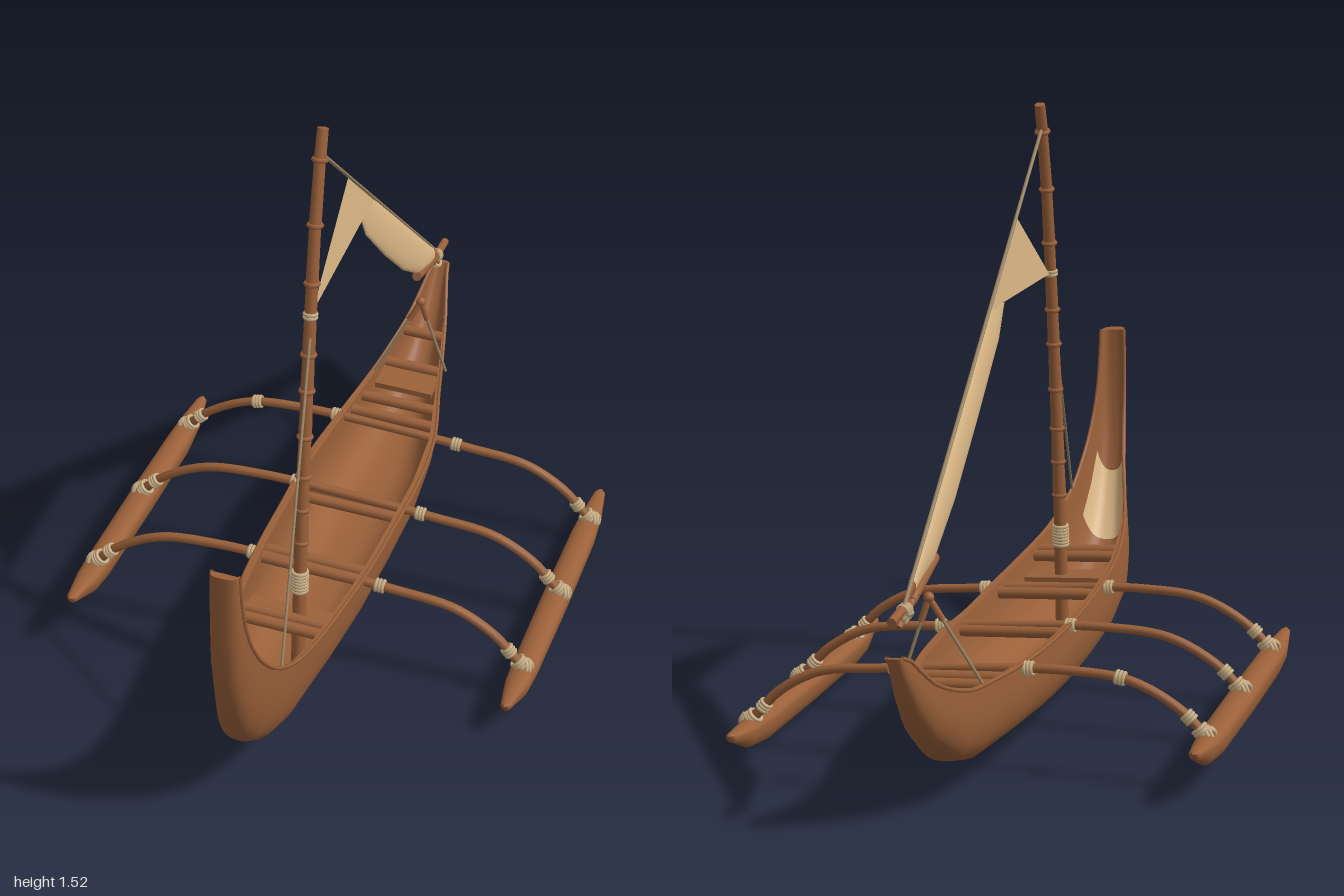
import * as THREE from 'three';

const V = (x, y, z) => new THREE.Vector3(x, y, z);
const mat = (name, color) => new THREE.MeshStandardMaterial({ name, color, side: THREE.DoubleSide });

export function createModel() {
  const wood = mat('wood', 0x9a6039), cloth = mat('sailcloth', 0xdfba88);
  const rope = mat('rope', 0xc8ae84), cord = mat('cord', 0x968160);
  const boat = new THREE.Group();
  boat.name = 'outriggerSailboat';

  const add = (name, geo, material) => {
    const m = new THREE.Mesh(geo, material);
    m.name = name;
    boat.add(m);
    return m;
  };

  // Skin a list of equally long rows of points
  const loft = (name, rows, material, closed = false) => {
    const n = rows[0].length, idx = [];
    for (let i = 0; i < rows.length - 1; i++)
      for (let j = 0; j < (closed ? n : n - 1); j++) {
        const k = (j + 1) % n, a = i * n + j, b = i * n + k;
        idx.push(a, b, a + n, b, b + n, a + n);
      }
    const g = new THREE.BufferGeometry().setFromPoints(rows.flat());
    g.setIndex(idx);
    g.computeVertexNormals();
    return add(name, g, material);
  };

  const rod = (name, a, b, r, material, r2 = r) => {
    const d = b.clone().sub(a);
    const m = add(name, new THREE.CylinderGeometry(r2, r, d.length(), 10), material);
    m.position.copy(a).addScaledVector(d, 0.5);
    m.quaternion.setFromUnitVectors(V(0, 1, 0), d.normalize());
    return m;
  };

  // Several turns of rope around a spar
  const lash = (name, p, dir, r, turns = 3, material = rope, thick = 0.005) => {
    for (let i = 0; i < turns; i++) {
      const t = add(name, new THREE.TorusGeometry(r, thick, 6, 14), material);
      t.position.copy(p).addScaledVector(dir, (i - (turns - 1) / 2) * thick * 1.7);
      t.quaternion.setFromUnitVectors(V(0, 0, 1), dir);
    }
  };

  // Hull stations: gunwale z, y, keel z, y, centre x, half width
  const stations = [
    [-0.985, 0.44, -0.997, 0.44, -0.112, 0.018], [-0.96, 0.43, -0.97, 0.385, -0.11, 0.023],
    [-0.91, 0.385, -0.91, 0.29, -0.104, 0.036], [-0.85, 0.34, -0.83, 0.2, -0.096, 0.051],
    [-0.72, 0.29, -0.7, 0.115, -0.08, 0.079], [-0.6, 0.277, -0.6, 0.085, -0.06, 0.1],
    [-0.4, 0.27, -0.4, 0.075, -0.025, 0.135], [-0.2, 0.275, -0.2, 0.07, 0, 0.15],
    [0, 0.28, 0, 0.065, 0.025, 0.147], [0.2, 0.295, 0.2, 0.07, 0.052, 0.143],
    [0.4, 0.315, 0.43, 0.085, 0.08, 0.13], [0.6, 0.345, 0.66, 0.11, 0.116, 0.106],
    [0.7, 0.375, 0.76, 0.155, 0.137, 0.09], [0.785, 0.42, 0.83, 0.21, 0.155, 0.072],
    [0.86, 0.49, 0.89, 0.29, 0.173, 0.056], [0.91, 0.56, 0.935, 0.39, 0.183, 0.046],
    [0.95, 0.65, 0.97, 0.5, 0.19, 0.039], [0.97, 0.74, 0.99, 0.64, 0.195, 0.035],
    [0.975, 0.82, 1, 0.825, 0.197, 0.032]];
  const section = ([gz, gy, kz, ky, cx, hw], inset, depth, from = 0, to = 1) => {
    const pts = [];
    for (let i = 0; i <= 20; i++) {
      const a = Math.PI * (from + (to - from) * i / 20), c = Math.cos(a);
      const u = Math.sign(c) * Math.abs(c) ** 0.75 * hw * (1 - inset);
      const v = Math.max(0, Math.sin(a)) ** 0.75 * depth;
      pts.push(V(cx + u - 0.06 * (gy - ky) * v,
        gy + (ky - gy) * v - 0.06 * u, gz + (kz - gz) * v - 0.13 * u));
    }
    return pts;
  };
  const outer = stations.map(s => section(s, 0, 1));
  const inner = stations.map(s => section(s, 0.1, 0.8));
  loft('hull', outer, wood);
  loft('hullInside', inner, wood);
  for (const j of [0, 20]) {
    loft('gunwale', outer.map((r, i) => [r[j], inner[i][j]]), wood);
    const path = new THREE.CatmullRomCurve3(outer.map(r => r[j]));
    add('gunwaleRail', new THREE.TubeGeometry(path, 60, 0.005, 6), wood);
  }
  for (const r of [outer[0], outer[18]])
    loft('hullEnd', [r, r.map((p, i) => r[0].clone().lerp(r[20], i / 20))], wood);
  loft('bowCloth', stations.slice(13, 16).map(s => section(s, 0.13, 0.76, 0.15, 0.85)), cloth);

  // Hull centre, half width and gunwale height at any z
  const at = z => {
    const i = Math.max(1, stations.findIndex(s => s[0] >= z)), a = stations[i - 1], b = stations[i];
    const t = (z - a[0]) / (b[0] - a[0]), mix = k => a[k] + (b[k] - a[k]) * t;
    return { x: mix(4), w: mix(5), y: mix(1) };
  };
  // Thwarts and planks across the hull
  for (const z of [-0.82, -0.71, -0.55, -0.48, -0.1, -0.06, 0.2, 0.24, 0.47, 0.51]) {
    const { x, w, y } = at(z), u = w * 0.95;
    rod('thwart', V(x - u, y - 0.025 + 0.06 * u, z + 0.13 * u), V(x + u, y - 0.025 - 0.06 * u, z - 0.13 * u), 0.015, wood);
  }
  for (const [z, d, drop] of [[0.42, 0.09, 0.06], [-0.65, 0.09, 0.03]]) {
    const { x, w, y } = at(z);
    const p = add('plank', new THREE.BoxGeometry(w * 1.75, 0.015, d), wood);
    p.position.set(x, y - drop, z);
    p.rotation.set(0, 0.13, -0.06);
  }

  // Outrigger floats: flat on top, rounded below, tapered at both ends
  const taper = [[0, 0.003, 0.005], [0.01, 0.014, 0.022], [0.1, 0.027, 0.065], [0.2, 0.033, 0.08],
    [0.5, 0.035, 0.082], [0.8, 0.033, 0.08], [0.88, 0.03, 0.07], [0.99, 0.013, 0.025], [1, 0.003, 0.006]];
  for (const [a, b] of [[V(0.51, 0.077, -0.635), V(0.62, 0.108, 0.34)],
    [V(-0.62, 0.145, -0.495), V(-0.5, 0.172, 0.48)]]) {
    loft('float', taper.map(([t, w, h]) => {
      const p = a.clone().lerp(b, t);
      return Array.from({ length: 16 }, (_, i) => {
        const q = i / 16 * Math.PI * 2, s = Math.sin(q);
        const y = s > 0 ? -h * 0.3 + s * h * 0.3 : -h * 0.3 + s * h * 0.7;
        return V(p.x + Math.cos(q) * w, p.y + y, p.z - 0.12 * Math.cos(q) * w);
      });
    }), wood, true);
  }

  // Curved booms joining the floats to the hull, with lashings
  const boomProfile = [[0, 0.15], [0.055, 0.21], [0.16, 0.27], [0.3, 0.283], [0.5, 0.27],
    [0.7, 0.25], [0.84, 0.228], [0.93, 0.17], [0.975, 0.115], [1, 0.085]];
  const booms = [[-0.6, -0.355, 0.535, -0.5], [-0.565, -0.02, 0.58, -0.16], [-0.52, 0.31, 0.605, 0.17]];
  booms.forEach(([x0, z0, x1, z1], n) => {
    const curve = new THREE.CatmullRomCurve3(boomProfile.map(([u, y]) => {
      const z = z0 + (z1 - z0) * u;
      return V(x0 + (x1 - x0) * u, y + 0.035 * z, z);
    }));
    add('boom', new THREE.TubeGeometry(curve, 50, 0.012, 8), wood);
    const wraps = [[0.015, 0.018], [0.05, 0.014], [0.985, 0.018], [0.95, 0.014], [0.38, 0.014], [0.65, 0.014]];
    if (n === 0) wraps.push([0.2, 0.014]);
    for (const [u, r] of wraps) lash('boomLashing', curve.getPointAt(u), curve.getTangentAt(u), r);
    // Crossed straps where the boom meets the float
    for (const u of [0, 1])
      for (const s of [-1, 1])
        lash('floatLashing', curve.getPoint(u).add(V(0, 0.004, 0)), V(s * 0.7, 0.3, 0.7).normalize(), 0.02, 2);
  });

  // Jointed mast, slightly bowed
  const mast = new THREE.CatmullRomCurve3([V(0.108, 0.1, 0.43), V(0.105, 0.36, 0.41),
    V(0.1, 0.95, 0.345), V(0.088, 1.38, 0.265), V(0.082, 1.525, 0.22)]);
  const mastAt = y => {
    let t = 0;
    while (t < 1 && mast.getPoint(t).y < y) t += 0.002;
    return [mast.getPoint(t), mast.getTangent(t)];
  };
  const joints = [0.11, 0.48, 0.57, 0.66, 0.77, 0.89, 0.98, 1.16, 1.3, 1.45, 1.52];
  joints.forEach((y, i) => {
    const [p, d] = mastAt(y);
    if (i < joints.length - 1)
      rod('mast', p, mastAt(joints[i + 1])[0], 0.018 - i * 0.0004, wood, 0.016 - i * 0.0003);
    if (i > 0 && i < joints.length - 1) lash('mastJoint', p, d, 0.015, 1, wood, 0.006);
  });
  lash('mastLashing', ...mastAt(0.37), 0.018, 7);
  lash('mastLashing', ...mastAt(1.08), 0.014, 2);

  // Sloping yard with the open corner of the sail
  const head = V(0.08, 1.455, 0.225), foot = V(-0.095, 0.51, -0.92);
  const yardAt = z => head.clone().lerp(foot, (head.z - z) / (head.z - foot.z));
  rod('yard', head, foot, 0.0045, cord);
  const luff = V(0.095, 1.08, 0.31), tri = new THREE.BufferGeometry();
  tri.setFromPoints([luff, yardAt(-0.235), yardAt(0)]);
  tri.computeVertexNormals();
  add('sailCorner', tri, cloth);

  // Rolled sail hanging below the yard: top z, bottom z, bottom y, half thickness
  const roll = [[-0.235, -0.13, 1.08, 0.004], [-0.28, -0.18, 1.0, 0.008], [-0.42, -0.35, 0.84, 0.012],
    [-0.6, -0.535, 0.685, 0.013], [-0.74, -0.69, 0.58, 0.012], [-0.84, -0.82, 0.545, 0.01], [-0.91, -0.905, 0.51, 0.004]];
  const rollRows = roll.map(([tz, bz, by, half]) => {
    const top = yardAt(tz), low = V(top.x + 0.008, by, bz);
    return Array.from({ length: 12 }, (_, i) => {
      const q = i / 12 * Math.PI * 2;
      return top.clone().lerp(low, 0.5 - 0.5 * Math.cos(q)).add(V(Math.sin(q) * half, 0, 0));
    });
  });
  loft('rolledSail', rollRows.slice(0, 6), cloth, true);
  loft('rolledSailEnd', rollRows.slice(5), wood, true);
  // Wooden foot spar along the lower end of the roll
  rod('footSpar', V(-0.055, 0.585, -0.67), V(-0.085, 0.53, -0.85), 0.013, wood);
  rod('yardTip', V(-0.08, 0.53, -0.84), V(-0.1, 0.515, -0.975), 0.011, wood);
  rod('yardTip', V(-0.09, 0.545, -0.83), V(-0.085, 0.485, -0.91), 0.008, wood);
  lash('yardLashing', V(-0.09, 0.52, -0.89), V(0, -0.1, -1).normalize(), 0.013, 3);
  lash('yardLashing', V(-0.09, 0.505, -0.885), V(0.8, 0.6, 0), 0.016, 2);

  // Forestay and stern bridle
  rod('forestay', luff, V(0.225, 0.41, 0.76), 0.0035, cord);
  const apex = V(-0.05, 0.495, -0.69);
  for (const p of [V(-0.155, 0.28, -0.62), V(0.015, 0.27, -0.72)]) {
    rod('bridle', apex, p, 0.004, cord);
    rod('bridleGrip', apex, apex.clone().lerp(p, 0.25), 0.008, wood);
  }
  const knob = add('bridleTop', new THREE.SphereGeometry(0.013, 10, 8), wood);
  knob.position.copy(apex);

  return boat;
}
